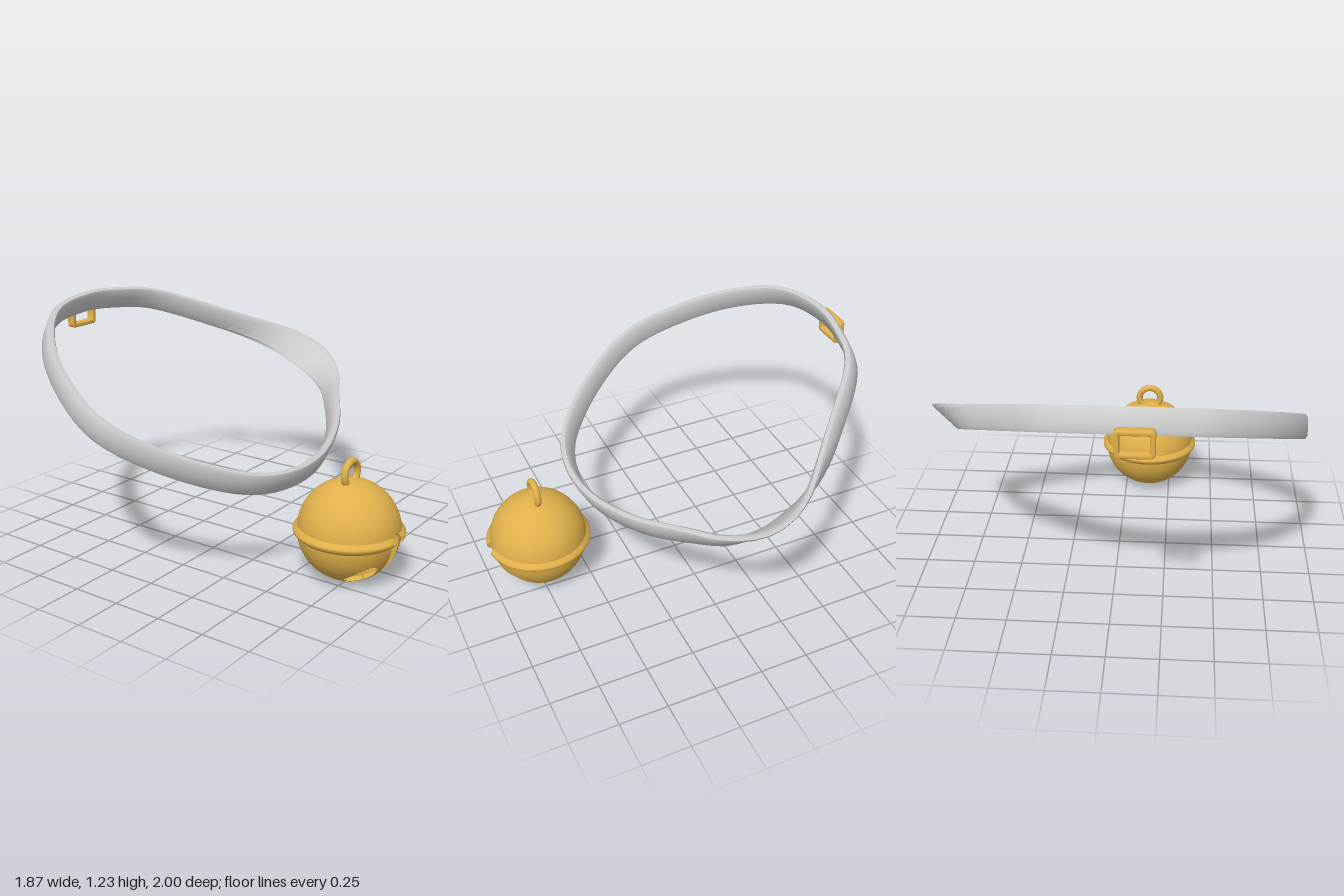
import * as THREE from 'three';
import { toCreasedNormals } from 'three/addons/utils/BufferGeometryUtils.js';

const grey = new THREE.MeshStandardMaterial({ color: 0xcccccc });
const gold = new THREE.MeshStandardMaterial({ color: 0xe0b04a });

function part(name, geometry, material, x = 0, y = 0, z = 0) {
  const mesh = new THREE.Mesh(geometry, material);
  mesh.name = name;
  mesh.position.set(x, y, z);
  return mesh;
}

function indexed(points, index, crease) {
  const g = new THREE.BufferGeometry().setFromPoints(points);
  g.setIndex(index);
  return toCreasedNormals(g, crease);
}

// Tilted band: a rounded strip swept round a closed curve, flaring out on the left
function collarGeometry() {
  const slope = 0.486;
  const plan = [
    [-0.13, -0.92], [0.08, -0.895], [0.29, -0.83], [0.57, -0.575], [0.76, -0.36], [0.835, -0.22],
    [0.845, -0.08], [0.75, 0.08], [0.6, 0.19], [0.335, 0.352], [0.0, 0.463], [-0.29, 0.47],
    [-0.525, 0.393], [-0.79, 0.135], [-0.913, -0.14], [-0.85, -0.405], [-0.685, -0.67], [-0.435, -0.865],
  ];
  const curve = new THREE.CatmullRomCurve3(
    plan.map(([x, z]) => new THREE.Vector3(x, 0.726 - slope * z, z)), true, 'centripetal');
  const normal = new THREE.Vector3(0, 1, slope).normalize();
  const section = [[1, -0.75], [1.1, 0], [1, 0.75], [0.55, 1], [-0.55, 1], [-1, 0.75], [-0.9, 0], [-1, -0.75], [-0.55, -1], [0.55, -1]];
  const rings = 90, n = section.length, points = [], index = [];
  for (let k = 0; k < rings; k++) {
    const c = curve.getPointAt(k / rings);
    const out = normal.clone().cross(curve.getTangentAt(k / rings)).normalize();
    const lean = c.x > 0 ? 0.075 * Math.exp(-(((c.z + 0.14) / 0.22) ** 2)) : 0;
    for (const [u, v] of section) {
      points.push(c.clone().addScaledVector(normal, 0.06 * v).addScaledVector(out, 0.021 * u + lean * v));
    }
    for (let i = 0; i < n; i++) {
      const a = k * n + i, b = k * n + (i + 1) % n;
      const c2 = ((k + 1) % rings) * n + i, d = ((k + 1) % rings) * n + (i + 1) % n;
      index.push(a, b, c2, b, d, c2);
    }
  }
  return indexed(points, index, 0.65);
}

// Signed distance to the bell openings: front slot and two round holes
function opening(p) {
  const slot = Math.max(Math.hypot(p.x, Math.max(0, p.y - 0.005)) - 0.031, -p.z - 0.03);
  const hole = Math.max(Math.hypot(Math.abs(p.x) - 0.113, p.y + 0.16) - 0.049, -p.z);
  return Math.min(slot, hole);
}

// Hollow sphere with the openings cut out and their rims closed
function bellGeometry(radius, inner) {
  const N = 128, M = 64, points = [], outer = [];
  const total = 2 + (M - 1) * N;
  const id = (i, j) => (i === 0 ? 0 : i === M ? total - 1 : 1 + (i - 1) * N + (j % N));
  for (let i = 0; i <= M; i++) {
    for (let j = 0; j < (i % M ? N : 1); j++) {
      const p = new THREE.Vector3().setFromSphericalCoords(radius, Math.PI * i / M, Math.PI / 2 - 2 * Math.PI * j / N);
      // Pull nearby points onto the opening's edge
      for (let s = 0; s < 3; s++) {
        const d = opening(p);
        if (Math.abs(d) > 0.0065) break;
        const e = 1e-4;
        const grad = new THREE.Vector3(
          opening(p.clone().setX(p.x + e)) - d,
          opening(p.clone().setY(p.y + e)) - d,
          opening(p.clone().setZ(p.z + e)) - d).divideScalar(e);
        p.addScaledVector(grad, -d).setLength(radius);
      }
      points.push(p);
    }
  }
  const edges = new Map();
  const addTri = (a, b, c) => {
    if (a === b || b === c || a === c) return;
    const mid = points[a].clone().add(points[b]).add(points[c]).divideScalar(3);
    if (opening(mid) < 0) return;
    outer.push(a, b, c);
    for (const [p, q] of [[a, b], [b, c], [c, a]]) edges.set(p * total + q, [p, q]);
  };
  for (let i = 0; i < M; i++) {
    for (let j = 0; j < N; j++) {
      const a = id(i, j), b = id(i + 1, j), c = id(i + 1, j + 1), d = id(i, j + 1);
      addTri(a, d, b);
      addTri(d, c, b);
    }
  }
  const index = outer.slice();
  for (let t = 0; t < outer.length; t += 3) index.push(outer[t] + total, outer[t + 2] + total, outer[t + 1] + total);
  for (const [p, q] of edges.values()) {
    if (!edges.has(q * total + p)) index.push(q, p, p + total, q, p + total, q + total);
  }
  const shell = points.map((p) => p.clone().setLength(inner));
  return indexed(points.concat(shell), index, 0.6);
}

function roundedRect(path, w, h, r) {
  path.moveTo(-w + r, -h);
  path.lineTo(w - r, -h).quadraticCurveTo(w, -h, w, -h + r);
  path.lineTo(w, h - r).quadraticCurveTo(w, h, w - r, h);
  path.lineTo(-w + r, h).quadraticCurveTo(-w, h, -w, h - r);
  path.lineTo(-w, -h + r).quadraticCurveTo(-w, -h, -w + r, -h);
  return path;
}

// Rectangular frame with softened edges
function buckleGeometry() {
  const bevel = 0.007;
  const shape = roundedRect(new THREE.Shape(), 0.089 - bevel, 0.065 - bevel, 0.014);
  shape.holes.push(roundedRect(new THREE.Path(), 0.064 + bevel, 0.041 + bevel, 0.012));
  const g = new THREE.ExtrudeGeometry(shape, {
    depth: 0.045 - 2 * bevel, bevelThickness: bevel, bevelSize: bevel, bevelSegments: 3, curveSegments: 5,
  });
  return toCreasedNormals(g.center(), 0.7);
}

export function createModel() {
  const model = new THREE.Group();
  model.name = 'collarWithBell';
  model.add(part('collarBand', collarGeometry(), grey));
  model.add(part('buckle', buckleGeometry(), gold, -0.127, 1.097, -0.977));

  const bell = new THREE.Group();
  bell.name = 'bell';
  bell.position.set(-0.13, 0.253, 0.73);
  bell.add(part('bellShell', bellGeometry(0.252, 0.232), gold));

  // Raised seam, left open where the slot crosses it
  const gap = 0.125;
  const seamProfile = [[0.247, -0.032], [0.258, -0.02], [0.271, -0.009], [0.272, 0.005], [0.26, 0.014], [0.247, 0.03]];
  const seam = new THREE.LatheGeometry(
    seamProfile.map(([r, y]) => new THREE.Vector2(r, y)), 96, gap, Math.PI * 2 - 2 * gap);
  bell.add(part('bellSeam', seam, new THREE.MeshStandardMaterial({ color: 0xe0b04a, side: THREE.DoubleSide })));

  // Hanging loop
  bell.add(part('bellLoop', new THREE.TorusGeometry(0.06, 0.018, 14, 40), gold, 0, 0.284, 0));
  model.add(bell);
  return model;
}
